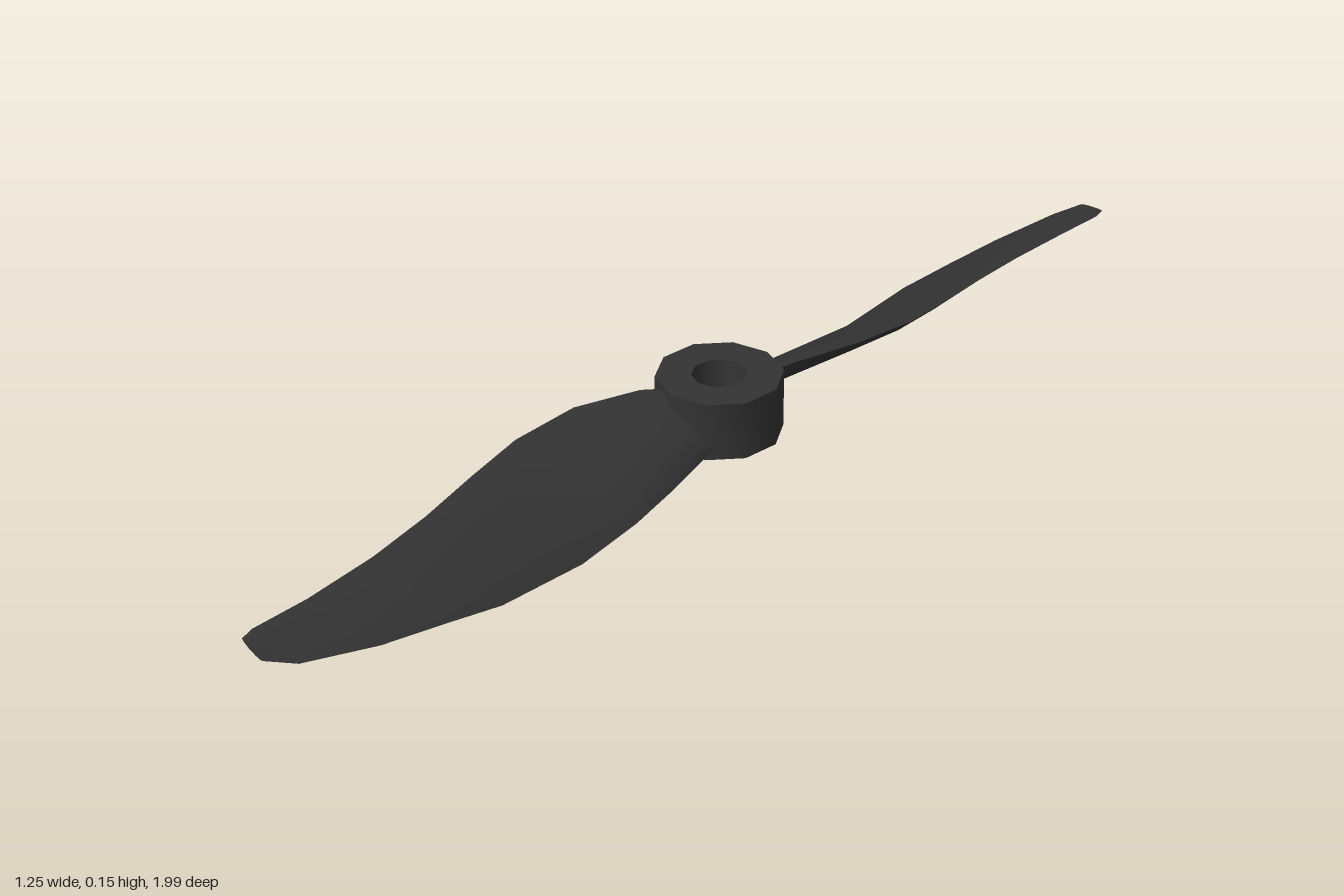
import * as THREE from 'three';
import { toCreasedNormals } from 'three/addons/utils/BufferGeometryUtils.js';

// Blade stations from root to tip: low edge xyz, high edge xyz, half thickness
const STATIONS = [
  [-0.03, 0.055, -0.085, 0.085, 0.135, -0.05, 0.022],
  [0.0, 0.045, -0.15, 0.135, 0.145, -0.085, 0.022],
  [0.035, 0.034, -0.25, 0.24, 0.148, -0.18, 0.018],
  [0.08, 0.018, -0.35, 0.32, 0.138, -0.3, 0.015],
  [0.15, 0.002, -0.48, 0.37, 0.125, -0.42, 0.013],
  [0.25, 0.016, -0.66, 0.42, 0.111, -0.55, 0.011],
  [0.33, 0.03, -0.76, 0.478, 0.1, -0.68, 0.01],
  [0.41, 0.042, -0.86, 0.553, 0.092, -0.82, 0.009],
  [0.52, 0.062, -0.97, 0.617, 0.09, -0.925, 0.007],
  [0.575, 0.078, -0.997, 0.625, 0.089, -0.955, 0.004],
];

// Thin lens section: [fraction of chord, offset in half thicknesses]
const SECTION = [
  [0, 0], [0.08, 0.4], [0.3, 0.75], [0.6, 0.75], [0.88, 0.5],
  [1, 0], [0.88, -0.7], [0.6, -1.1], [0.3, -0.9], [0.08, -0.4],
];

function bladeGeometry() {
  const lows = STATIONS.map((s) => new THREE.Vector3(s[0], s[1], s[2]));
  const highs = STATIONS.map((s) => new THREE.Vector3(s[3], s[4], s[5]));
  const mids = lows.map((l, i) => l.clone().lerp(highs[i], 0.5));
  const n = SECTION.length, last = STATIONS.length - 1;
  const positions = [], index = [];
  for (let i = 0; i <= last; i++) {
    const chord = highs[i].clone().sub(lows[i]);
    const span = mids[Math.min(i + 1, last)].clone().sub(mids[Math.max(i - 1, 0)]);
    const normal = chord.clone().cross(span).normalize();
    for (const [t, h] of SECTION) {
      const p = lows[i].clone().addScaledVector(chord, t);
      p.addScaledVector(normal, h * STATIONS[i][6]);
      positions.push(p.x, p.y, p.z);
    }
  }
  // skin between neighbouring sections
  for (let i = 0; i < last; i++) {
    for (let j = 0; j < n; j++) {
      const k = (j + 1) % n;
      const a = i * n + j, b = i * n + k, c = a + n, d = b + n;
      index.push(a, b, c, b, d, c);
    }
  }
  // root and tip caps
  for (let j = 1; j < n - 1; j++) {
    index.push(0, j + 1, j);
    index.push(last * n, last * n + j, last * n + j + 1);
  }
  const geometry = new THREE.BufferGeometry();
  geometry.setAttribute('position', new THREE.Float32BufferAttribute(positions, 3));
  geometry.setIndex(index);
  return toCreasedNormals(geometry, 0.8);
}

// Ring hub with a slightly tapered through hole
function hubGeometry() {
  const profile = [
    [0.054, 0.15], [0.047, 0.03], [0.124, 0.03], [0.124, 0.15], [0.054, 0.15],
  ].map(([r, y]) => new THREE.Vector2(r, y));
  return toCreasedNormals(new THREE.LatheGeometry(profile, 10), 0.8);
}

export function createModel() {
  const model = new THREE.Group();
  model.name = 'propeller';
  const material = new THREE.MeshStandardMaterial({ color: 0x333333 });

  const hub = new THREE.Mesh(hubGeometry(), material);
  hub.name = 'hub';
  model.add(hub);

  // two identical blades, half a turn apart
  const blade = bladeGeometry();
  ['backBlade', 'frontBlade'].forEach((name, i) => {
    const mesh = new THREE.Mesh(blade, material);
    mesh.name = name;
    mesh.rotation.y = i * Math.PI;
    model.add(mesh);
  });
  return model;
}
